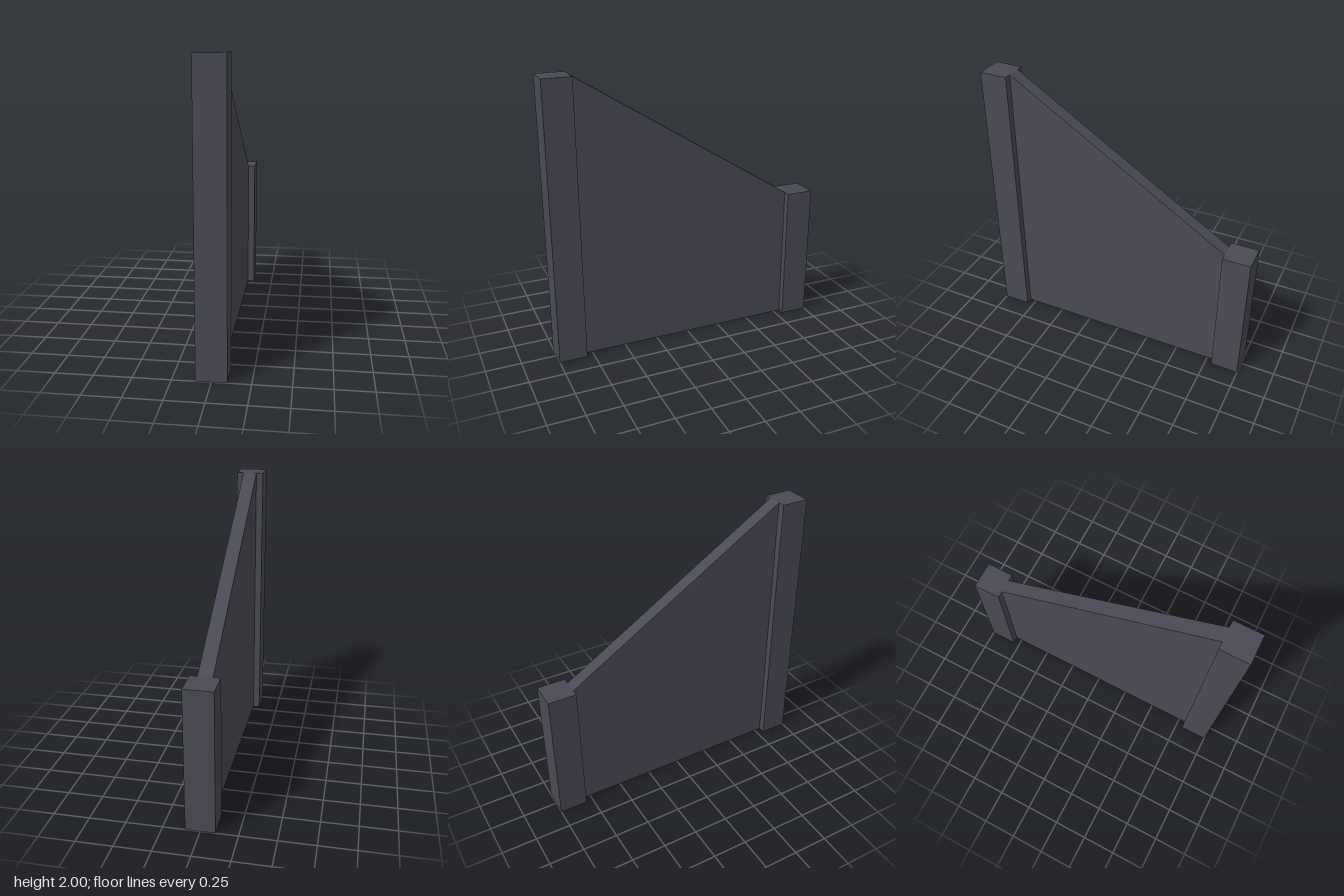
import * as THREE from 'three';

export function createModel() {
  const group = new THREE.Group();
  const slate = new THREE.MeshStandardMaterial({ color: 0x4a4a55 });
  slate.name = 'slate';

  const postSize = 0.2, panelThickness = 0.1;
  const tall = 2, short = 1;
  const inner = 1 - postSize;

  // Square end posts standing on the ground
  function addPost(name, height, z) {
    const post = new THREE.Mesh(new THREE.BoxGeometry(postSize, height, postSize), slate);
    post.name = name;
    post.position.set(0, height / 2, z);
    group.add(post);
  }
  addPost('tallFrontPost', tall, 1 - postSize / 2);
  addPost('shortBackPost', short, -1 + postSize / 2);

  // Thin panel with a sloping top edge between the posts (profile x becomes z)
  const profile = new THREE.Shape([
    new THREE.Vector2(-inner, 0),
    new THREE.Vector2(inner, 0),
    new THREE.Vector2(inner, tall),
    new THREE.Vector2(-inner, short),
  ]);
  const panelGeometry = new THREE.ExtrudeGeometry(profile, { depth: panelThickness, bevelEnabled: false });
  panelGeometry.translate(0, 0, -panelThickness / 2);
  panelGeometry.rotateY(-Math.PI / 2);
  const panel = new THREE.Mesh(panelGeometry, slate);
  panel.name = 'slopedPanel';
  group.add(panel);

  return group;
}
